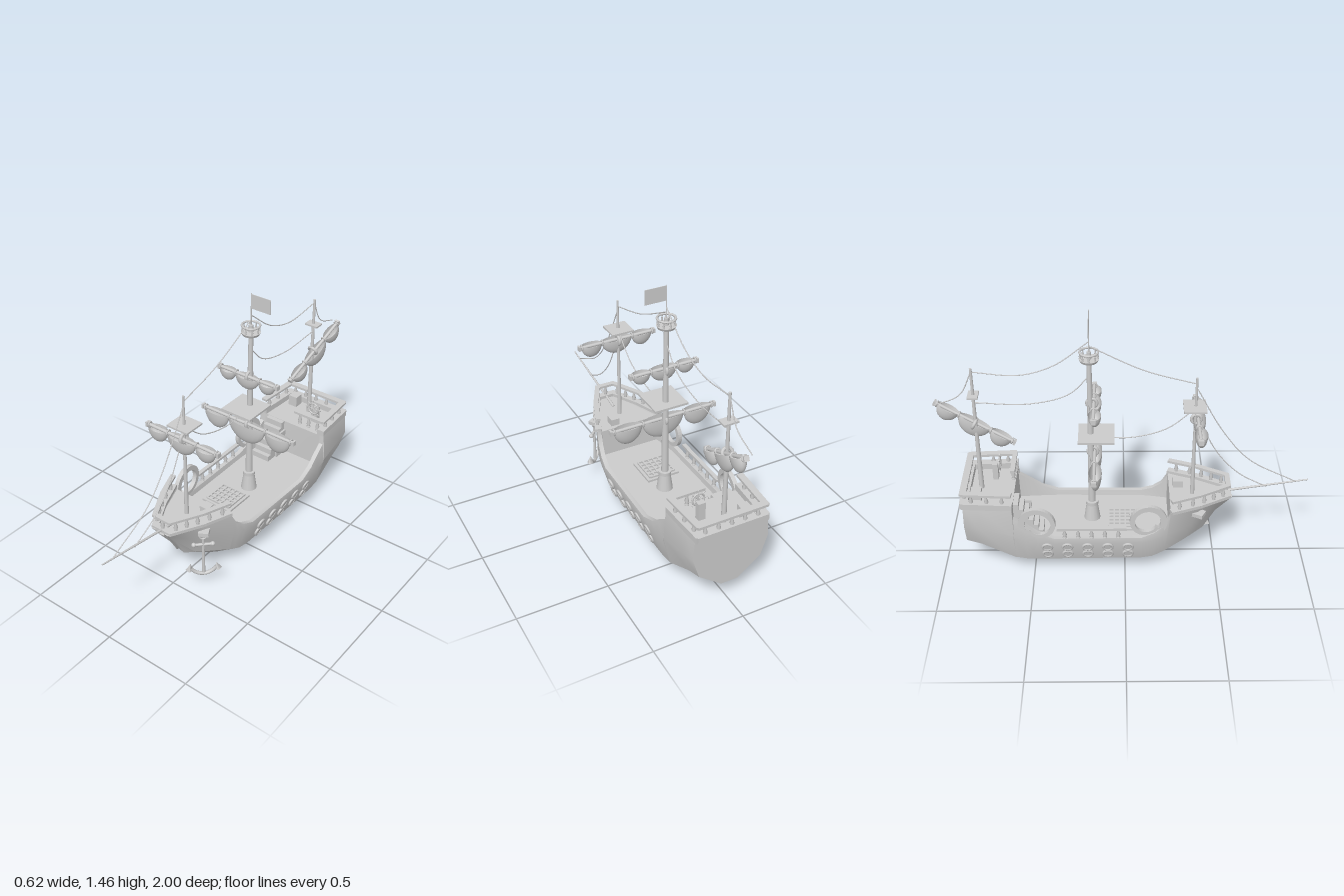
import * as THREE from 'three';
import { toCreasedNormals } from 'three/addons/utils/BufferGeometryUtils.js';

const mat = new THREE.MeshStandardMaterial({ color: 0xcccccc, side: THREE.DoubleSide });
const V = (x, y, z) => new THREE.Vector3(x, y, z);

function add(parent, name, geo, x = 0, y = 0, z = 0) {
  const m = new THREE.Mesh(geo, mat);
  m.name = name;
  m.position.set(x, y, z);
  parent.add(m);
  return m;
}
const box = (p, name, w, h, d, x, y, z) => add(p, name, new THREE.BoxGeometry(w, h, d), x, y, z);
const pole = (p, name, r0, r1, y0, y1, x, z, n = 14) =>
  add(p, name, new THREE.CylinderGeometry(r1, r0, y1 - y0, n), x, (y0 + y1) / 2, z);

// round bar between two points
function bar(p, name, a, b, r0, r1 = r0) {
  const m = add(p, name, new THREE.CylinderGeometry(r1, r0, a.distanceTo(b), 10));
  m.position.copy(a).lerp(b, 0.5);
  m.quaternion.setFromUnitVectors(V(0, 1, 0), b.clone().sub(a).normalize());
}
function plank(p, name, a, b, w, h) {
  const m = box(p, name, w, h, a.distanceTo(b) + w * 0.6, 0, 0, 0);
  m.position.copy(a).lerp(b, 0.5);
  m.rotation.y = Math.atan2(b.x - a.x, b.z - a.z);
}
function rope(p, ...pts) {
  const curve = new THREE.CatmullRomCurve3(pts.map(([y, z]) => V(0, y, z)));
  add(p, 'rope', new THREE.TubeGeometry(curve, 24, 0.003, 5));
}

// turned post of unit height
const balusterGeo = new THREE.LatheGeometry(
  [[0.012, 0], [0.012, 0.1], [0.007, 0.16], [0.012, 0.35], [0.006, 0.7], [0.009, 0.92], [0.009, 1]]
    .map(([r, y]) => new THREE.Vector2(r, y)), 8);

// railing along a list of [x, z] corners
function railing(p, name, pts, y, h, w, sill, spacing) {
  const g = new THREE.Group();
  g.name = name;
  p.add(g);
  for (let i = 0; i + 1 < pts.length; i++) {
    const a = V(pts[i][0], y, pts[i][1]), b = V(pts[i + 1][0], y, pts[i + 1][1]);
    const up = V(0, h, 0);
    plank(g, 'handrail', a.clone().add(up), b.clone().add(up), w, 0.014);
    if (sill) plank(g, 'sill', a, b, w + 0.008, sill);
    const n = Math.max(1, Math.round(a.distanceTo(b) / spacing));
    for (let k = 0; k < n; k++) {
      const q = a.clone().lerp(b, (k + 0.5) / n);
      add(g, 'baluster', balusterGeo, q.x, q.y, q.z).scale.y = h;
    }
  }
}

// hull and decks lofted from closed cross-sections
function hullGeometry() {
  // z at the top edge, keel y, side x y, top x y
  const stations = [
    [-0.86, 0.12, 0.215, 0.34, 0.205, 0.46],
    [-0.78, 0.1, 0.225, 0.33, 0.21, 0.46],
    [-0.6, 0.012, 0.235, 0.29, 0.222, 0.46],
    [-0.595, 0.012, 0.235, 0.28, 0.222, 0.395],
    [-0.53, 0, 0.236, 0.26, 0.226, 0.35],
    [-0.47, 0, 0.236, 0.24, 0.23, 0.305],
    [-0.38, 0, 0.236, 0.235, 0.234, 0.27],
    [0.09, 0, 0.23, 0.235, 0.228, 0.27],
    [0.16, 0.005, 0.222, 0.245, 0.218, 0.295],
    [0.21, 0.02, 0.212, 0.255, 0.208, 0.335],
    [0.24, 0.03, 0.205, 0.27, 0.202, 0.39],
    [0.245, 0.032, 0.204, 0.27, 0.201, 0.412],
    [0.4, 0.075, 0.13, 0.28, 0.145, 0.412],
    [0.49, 0.095, 0.08, 0.3, 0.105, 0.412],
    [0.585, 0.11, 0.03, 0.31, 0.055, 0.412],
  ];
  const rings = stations.map(([z, ky, mx, my, tx, ty]) => {
    // the bow rakes forward: the keel lags behind the top edge
    const keelZ = z < 0.1 ? z : 0.1 + 0.21 * Math.sin((z - 0.1) / 0.485 * Math.PI / 2);
    const at = (f) => keelZ + (z - keelZ) * f;
    const deckY = z < -0.597 ? 0.445 : z < 0.242 ? 0.24 : 0.4;
    const half = [[Math.min(0.05, 0.008 + 0.18 * mx), ky, keelZ], [mx * 0.82, ky + 0.1 - 0.1 * Math.max(0, z - 0.3), at(0.45)],
      [mx, my, at(0.7)], [tx, ty, z], [tx - 0.025, ty, z], [tx - 0.03, deckY, z]];
    return [...half, ...half.map(([x, y, zz]) => [-x, y, zz]).reverse()];
  });
  const pos = [];
  const n = rings[0].length;
  for (let i = 0; i + 1 < rings.length; i++) for (let j = 0; j < n; j++) {
    const k = (j + 1) % n;
    const a = rings[i][j], b = rings[i][k], c = rings[i + 1][k], d = rings[i + 1][j];
    pos.push(...a, ...b, ...c, ...a, ...c, ...d);
  }
  // transom and stem
  for (const [ring, flip] of [[rings[0], true], [rings[rings.length - 1], false]]) {
    const c = [0, (ring[2][1] + ring[1][1]) / 2, (ring[2][2] + ring[1][2]) / 2];
    for (let j = 0; j < n; j++) {
      const k = (j + 1) % n;
      pos.push(...c, ...ring[flip ? k : j], ...ring[flip ? j : k]);
    }
  }
  const g = new THREE.BufferGeometry();
  g.setAttribute('position', new THREE.Float32BufferAttribute(pos, 3));
  return toCreasedNormals(g, 0.45);
}

// spiral bulwark ornament; dir mirrors it fore and aft
function scroll(p, z, dir, x, yaw) {
  const outer = [], inner = [];
  for (let i = 0; i <= 40; i++) {
    const t = i / 40, a = -0.7 + t * 6.4;
    const r = 0.107 - 0.035 * t * t, w = 0.036 - 0.018 * t;
    outer.push(new THREE.Vector2(dir * r * Math.cos(a), r * Math.sin(a)));
    inner.push(new THREE.Vector2(dir * (r - w) * Math.cos(a), (r - w) * Math.sin(a)));
  }
  const shape = new THREE.Shape([...outer, ...inner.reverse()]);
  const geo = new THREE.ExtrudeGeometry(shape, { depth: 0.024, bevelEnabled: false });
  geo.translate(0, 0, -0.012);
  add(p, 'bulwarkScroll', geo, x, 0.36, z).rotation.y = -Math.PI / 2 + yaw;
}

// yard along local x with a furled sail in three swags
function furledSail(p, name, half, x, y, z) {
  const g = new THREE.Group();
  g.name = name;
  g.position.set(x, y, z);
  p.add(g);
  bar(g, 'yard', V(-half, 0, 0), V(half, 0, 0), 0.009);
  for (const [a, b, drop] of [[-0.94, -0.4, 0.33], [-0.4, 0.4, 0.39], [0.4, 0.94, 0.33]]) {
    const swag = new THREE.SphereGeometry(1, 20, 10, 0, Math.PI * 2, Math.PI / 2, Math.PI / 2);
    add(g, 'sailSwag', swag, (a + b) / 2 * half, 0.004, 0.006).scale.set((b - a) / 2 * half, drop * half, 0.034);
  }
  for (const f of [-0.94, -0.4, 0.4, 0.94])
    add(g, 'sailTie', new THREE.TorusGeometry(0.014, 0.005, 6, 12), f * half).rotation.y = Math.PI / 2;
  for (const s of [-1, 1]) box(g, 'yardEnd', 0.012, 0.026, 0.026, s * half, 0, 0);
  add(g, 'yardLashing', new THREE.TorusGeometry(0.026, 0.009, 8, 16), 0, 0, -0.01).rotation.set(0.3, Math.PI / 2, 0);
  return g;
}

function anchor(p) {
  const g = new THREE.Group();
  g.name = 'anchor';
  g.position.set(0.145, 0, 0.415);
  g.rotation.y = Math.PI / 4;
  p.add(g);
  bar(g, 'shank', V(0, 0.1, 0), V(0, 0.33, 0), 0.009, 0.007);
  bar(g, 'stock', V(-0.05, 0.29, 0), V(0.05, 0.29, 0), 0.008);
  add(g, 'anchorRing', new THREE.TorusGeometry(0.018, 0.005, 6, 14), 0, 0.345);
  const arms = add(g, 'arms', new THREE.TorusGeometry(0.075, 0.01, 8, 18, 2.3), 0, 0.165);
  arms.rotation.z = Math.PI * 1.5 - 1.15;
  for (const s of [-1, 1]) {
    add(g, 'fluke', new THREE.ConeGeometry(0.02, 0.045, 4), s * 0.073, 0.14).rotation.z = s * 0.2;
    add(g, 'stockKnob', new THREE.SphereGeometry(0.013, 10, 8), s * 0.05, 0.29);
  }
}

export function createModel() {
  const ship = new THREE.Group();
  ship.name = 'sailingShip';
  add(ship, 'hull', hullGeometry());

  // railings
  railing(ship, 'poopRail', [[0.2, -0.61], [0.185, -0.855], [-0.185, -0.855], [-0.2, -0.61]], 0.465, 0.07, 0.036, 0.035, 0.075);
  railing(ship, 'poopFrontRail', [[0.2, -0.61], [0.02, -0.61]], 0.465, 0.07, 0.025, 0, 0.07);
  const bowSide = [[0.19, 0.255], [0.135, 0.4], [0.05, 0.56]];
  const bowRail = [...bowSide, ...bowSide.map(([x, z]) => [-x, z]).reverse()];
  railing(ship, 'forecastleRail', bowRail, 0.415, 0.068, 0.028, 0.018, 0.07);
  railing(ship, 'waistRail', [[-0.222, 0], [-0.224, -0.36]], 0.27, 0.06, 0.022, 0, 0.072);
  scroll(ship, 0.12, 1, -0.203, 0.07);
  scroll(ship, -0.465, -1, -0.222, -0.07);

  // paired port rings along both sides
  for (const s of [-1, 1]) for (let i = 0; i < 5; i++) for (const y of [0.15, 0.21]) {
    const port = new THREE.Group();
    port.name = 'porthole';
    port.position.set(s * (0.197 + (y - 0.1) * 0.3), y, 0.016 - i * 0.109);
    port.rotation.z = -0.28 * s;
    add(port, 'portRing', new THREE.TorusGeometry(0.025, 0.007, 8, 20)).rotation.y = Math.PI / 2;
    add(port, 'portCover', new THREE.CylinderGeometry(0.022, 0.022, 0.006, 18)).rotation.z = Math.PI / 2;
    ship.add(port);
  }

  // stairs up to the poop
  for (let i = 0; i < 6; i++) {
    const h = 0.034 * (i + 1);
    box(ship, 'stairStep', 0.11, h, 0.028, -0.107, 0.24 + h / 2, -0.455 - i * 0.026);
  }
  box(ship, 'stairSide', 0.012, 0.15, 0.085, -0.045, 0.315, -0.552);

  // deck fittings
  box(ship, 'hatchFrame', 0.19, 0.012, 0.185, -0.035, 0.246, -0.013);
  for (let i = 0; i < 6; i++) {
    box(ship, 'hatchGrate', 0.008, 0.01, 0.15, -0.11 + i * 0.03, 0.257, -0.013);
    box(ship, 'hatchGrate', 0.15, 0.01, 0.008, -0.035, 0.257, -0.088 + i * 0.03);
  }
  box(ship, 'forecastleChest', 0.05, 0.04, 0.055, 0.075, 0.42, 0.295);
  box(ship, 'poopChest', 0.055, 0.065, 0.055, -0.11, 0.477, -0.795);

  // steering wheel
  const wheel = new THREE.Group();
  wheel.name = 'steeringWheel';
  wheel.position.set(0.09, 0.545, -0.685);
  add(wheel, 'wheelRim', new THREE.TorusGeometry(0.034, 0.005, 8, 20));
  for (let i = 0; i < 4; i++) {
    const a = i * Math.PI / 4, d = V(Math.cos(a), Math.sin(a), 0).multiplyScalar(0.052);
    bar(wheel, 'spoke', d, d.clone().negate(), 0.003);
  }
  ship.add(wheel);
  box(ship, 'wheelStand', 0.04, 0.1, 0.03, 0.09, 0.495, -0.71);

  // main mast
  const mz = -0.18;
  pole(ship, 'mastFoot', 0.045, 0.03, 0.24, 0.34, 0, mz);
  pole(ship, 'mastCollar', 0.035, 0.035, 0.335, 0.355, 0, mz);
  pole(ship, 'mainMast', 0.02, 0.012, 0.34, 1.28, 0, mz);
  box(ship, 'mainPlatform', 0.19, 0.012, 0.19, -0.003, 0.79, -0.15);
  pole(ship, 'crowsNestFloor', 0.045, 0.052, 1.225, 1.24, 0, mz, 20);
  const nestRing = add(ship, 'crowsNestRail', new THREE.TorusGeometry(0.047, 0.006, 8, 24), 0, 1.277, mz);
  nestRing.rotation.x = Math.PI / 2;
  for (let i = 0; i < 8; i++) {
    const a = i * Math.PI / 4;
    add(ship, 'nestPost', balusterGeo, 0.045 * Math.cos(a), 1.238, mz + 0.045 * Math.sin(a)).scale.set(0.5, 0.038, 0.5);
  }
  pole(ship, 'flagPole', 0.004, 0.002, 1.27, 1.457, 0, mz, 8);
  box(ship, 'flag', 0.12, 0.08, 0.003, 0.06, 1.413, mz);

  // fore and mizzen masts
  pole(ship, 'foreMast', 0.012, 0.006, 0.4, 1.125, 0, 0.37);
  box(ship, 'forePlatform', 0.13, 0.01, 0.12, 0, 0.955, 0.365);
  pole(ship, 'mizzenMast', 0.014, 0.007, 0.44, 1.185, 0, -0.78);
  box(ship, 'mizzenPlatform', 0.08, 0.01, 0.055, 0, 1.03, -0.78);

  // furled sails
  furledSail(ship, 'mainCourse', 0.305, 0, 0.68, -0.16);
  furledSail(ship, 'mainTopsail', 0.19, 0, 0.98, -0.16);
  furledSail(ship, 'foreSail', 0.228, 0, 0.88, 0.385);
  furledSail(ship, 'mizzenSail', 0.232, 0.012, 0.857, -0.785).rotation.set(0, Math.PI / 2 - 0.11, 0.49);

  // bowsprit and rigging
  bar(ship, 'bowsprit', V(0, 0.4, 0.45), V(0, 0.487, 1), 0.008, 0.004);
  rope(ship, [1.09, 0.37], [1.17, 0.1], [1.31, mz]);
  rope(ship, [1.335, mz], [1.2, -0.36], [1.145, -0.54], [1.165, -0.78]);
  rope(ship, [1.14, mz], [1.03, -0.29], [0.975, -0.5], [0.985, -0.78]);
  rope(ship, [0.94, 0.365], [0.82, 0.22], [0.765, 0.02], [0.78, -0.17]);
  rope(ship, [1.06, 0.375], [0.8, 0.52], [0.62, 0.67], [0.475, 0.93]);
  rope(ship, [0.89, 0.38], [0.66, 0.5], [0.53, 0.62], [0.44, 0.775]);
  rope(ship, [1.165, -0.78], [1.03, -0.85], [0.97, -0.985]);

  // anchor and its beams
  anchor(ship);
  for (const s of [-1, 1]) box(ship, 'anchorBeam', 0.055, 0.022, 0.06, s * 0.14, 0.363, 0.4).rotation.y = s * 0.5;

  return ship;
}
